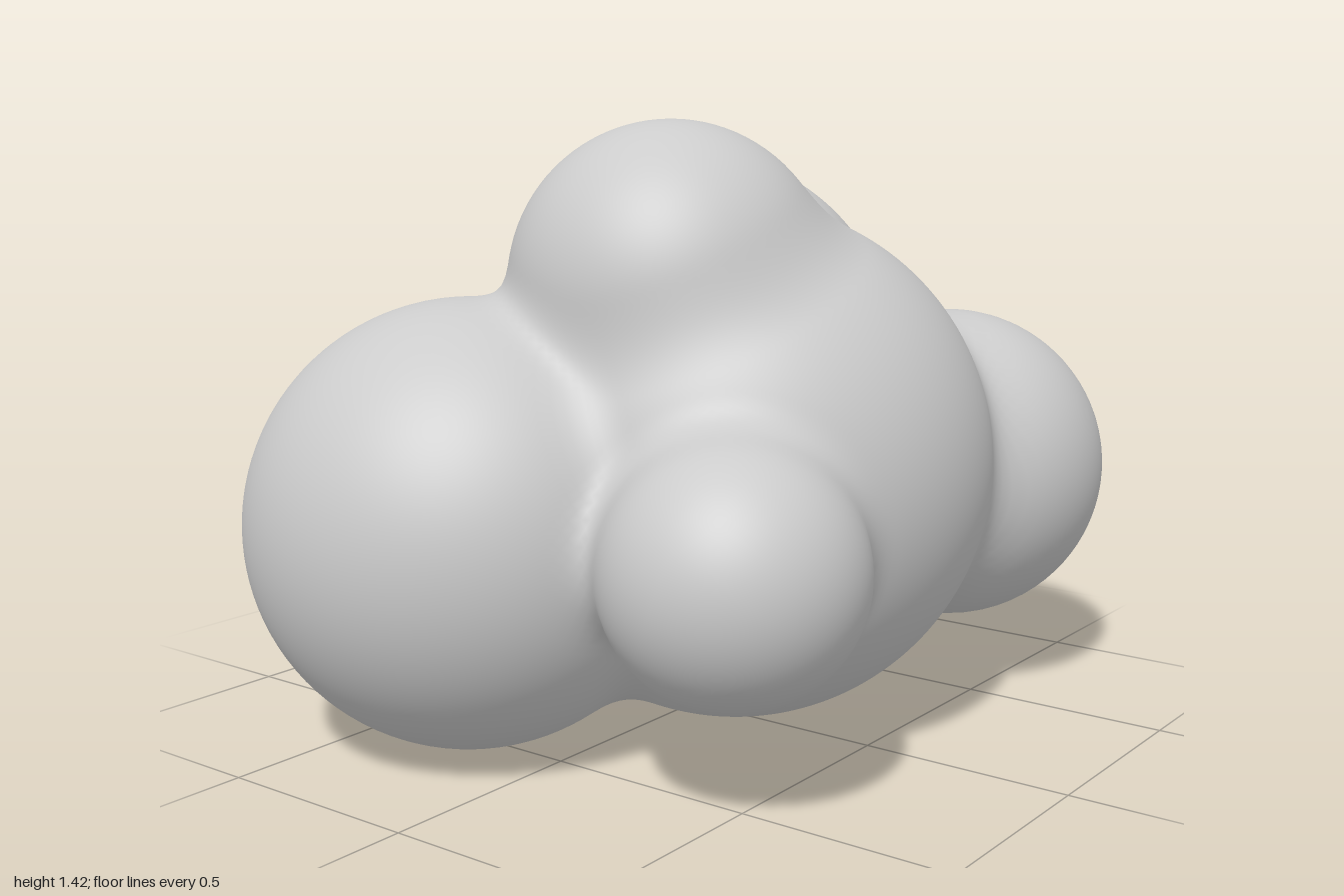
import * as THREE from 'three';
import { mergeVertices } from 'three/addons/utils/BufferGeometryUtils.js';

// Lobes of the cluster: centre and radius
const LOBES = [
  { c: new THREE.Vector3(0, 0.635, 0.12), r: 0.605 },      // core
  { c: new THREE.Vector3(-0.49, 0.52, -0.265), r: 0.515 }, // back right
  { c: new THREE.Vector3(0.32, 0.82, -0.24), r: 0.52 },    // back left
  { c: new THREE.Vector3(0.61, 0.56, 0.355), r: 0.39 },    // front left
  { c: new THREE.Vector3(-0.515, 0.52, 0.485), r: 0.285 }, // front right
  { c: new THREE.Vector3(-0.18, 1.06, 0.07), r: 0.37 },    // top
];
const BLEND = 0.08;

// Signed distance to the softly blended lobes
function distanceTo(p) {
  let d = Infinity;
  for (const { c, r } of LOBES) {
    const e = p.distanceTo(c) - r;
    const h = Math.max(BLEND - Math.abs(d - e), 0);
    d = Math.min(d, e) - (h * h) / (4 * BLEND);
  }
  return d;
}

export function createModel() {
  const group = new THREE.Group();
  group.name = 'blobCluster';

  let geometry = new THREE.IcosahedronGeometry(1, 40);
  geometry.deleteAttribute('normal');
  geometry.deleteAttribute('uv');
  geometry = mergeVertices(geometry, 1e-5);

  // Shrink-wrap a sphere onto the lobes, marching inward along each ray
  const centre = new THREE.Vector3(0, 0.64, 0.05);
  const pos = geometry.attributes.position;
  const dir = new THREE.Vector3();
  const p = new THREE.Vector3();
  for (let i = 0; i < pos.count; i++) {
    dir.fromBufferAttribute(pos, i).normalize();
    let t = 1.6;
    for (let step = 0; step < 80; step++) {
      p.copy(centre).addScaledVector(dir, t);
      const d = distanceTo(p);
      t -= d;
      if (Math.abs(d) < 1e-4) break;
    }
    p.copy(centre).addScaledVector(dir, t);
    pos.setXYZ(i, p.x, p.y, p.z);
  }
  geometry.computeVertexNormals();

  const body = new THREE.Mesh(geometry, new THREE.MeshStandardMaterial({ color: 0xcccccc }));
  body.name = 'blendedLobes';
  group.add(body);
  return group;
}
